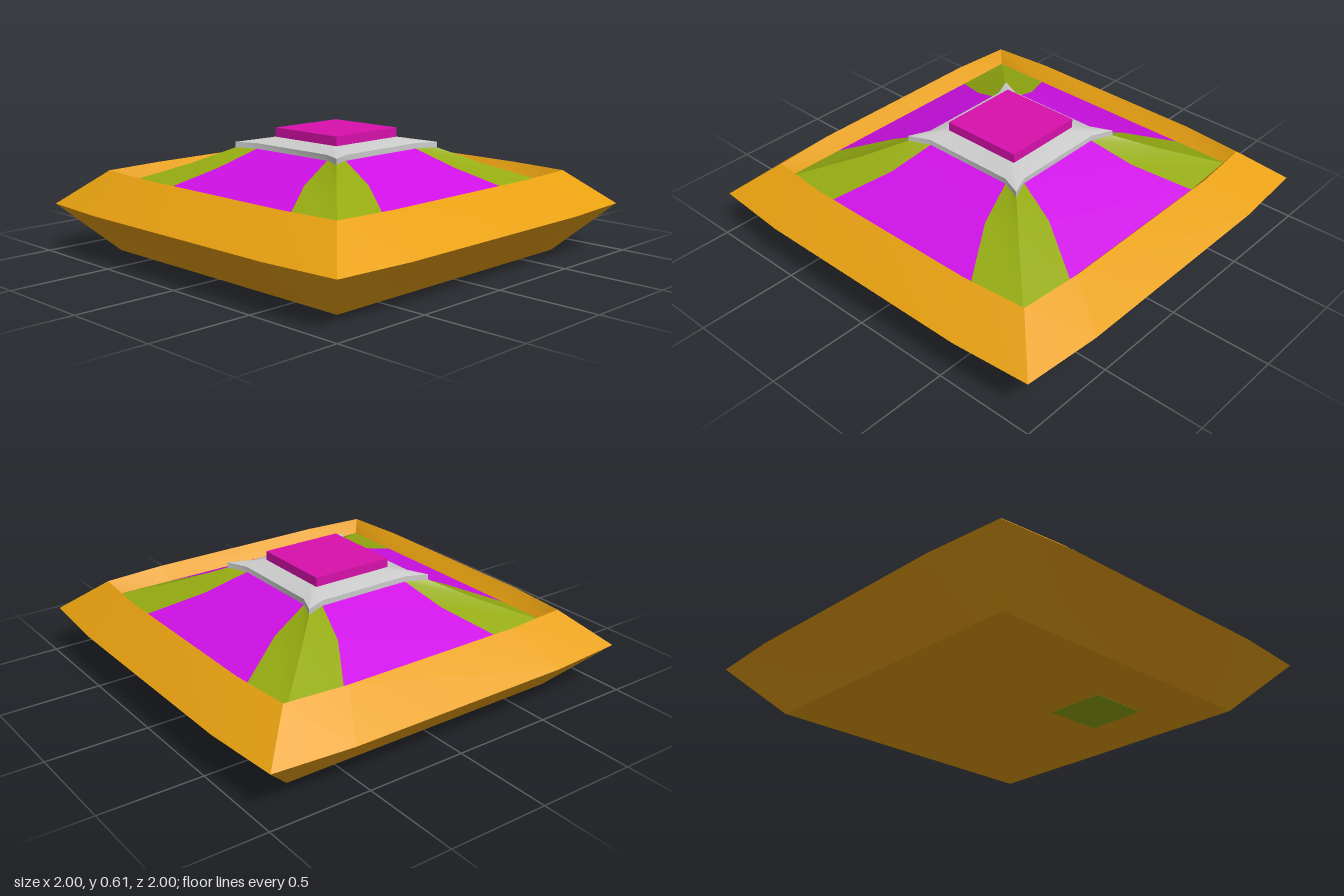
import * as THREE from 'three';
import { toCreasedNormals } from 'three/addons/utils/BufferGeometryUtils.js';

// Twelve-point outline: per side a corner (c, c) and two edge points (±s, e)
function ring(c, e, s, y) {
  const points = [];
  for (let side = 0; side < 4; side++) {
    for (let [x, z] of [[c, c], [s, e], [-s, e]]) {
      for (let i = 0; i < side; i++) [x, z] = [-z, x];
      points.push(new THREE.Vector3(x, y, z));
    }
  }
  return points;
}

// Skin between successive rings; keep() selects which segments to build
function loft(rings, keep = () => true) {
  const corners = [];
  const triangle = (a, b, c) => {
    const area = b.clone().sub(a).cross(c.clone().sub(a)).length();
    if (area > 1e-7) corners.push(a, b, c);
  };
  for (let r = 0; r < rings.length - 1; r++) {
    const lower = rings[r], upper = rings[r + 1];
    for (let i = 0; i < 12; i++) {
      if (!keep(i)) continue;
      const j = (i + 1) % 12;
      triangle(lower[i], upper[i], upper[j]);
      triangle(lower[i], upper[j], lower[j]);
    }
  }
  const geometry = new THREE.BufferGeometry().setFromPoints(corners);
  return toCreasedNormals(geometry, 0.45);
}

export function createModel() {
  const group = new THREE.Group();
  const add = (name, geometry, color) => {
    const material = new THREE.MeshStandardMaterial({ color });
    const mesh = new THREE.Mesh(geometry, material);
    mesh.name = name;
    group.add(mesh);
    return mesh;
  };
  const orange = 0xe8a010, olive = 0x95ab11, purple = 0xd010e8, magenta = 0xd810ac;

  // Bowed frame: closed bottom, flared sides, sloping rim and inner wall
  add('frame', loft([
    ring(0, 0, 0, 0),
    ring(0.75, 0.75, 0.45, 0),
    ring(0.97, 1, 0.58, 0.235),
    ring(0.78, 0.805, 0.47, 0.4),
    ring(0.75, 0.75, 0.45, 0.33),
  ]), orange);

  // Roof: flat panels on the four sides, contrasting corners
  const roof = [
    ring(0.75, 0.75, 0.45, 0.33),
    ring(0.5, 0.5, 0.3, 0.435),
    ring(0.345, 0.3, 0.24, 0.513),
  ];
  add('roofPanels', loft(roof, (i) => i % 3 === 1), purple);
  add('roofCorners', loft(roof, (i) => i % 3 !== 1), olive);

  // Pointed plate under the cap
  add('capPlate', loft([
    ring(0, 0, 0, 0.513),
    ring(0.345, 0.3, 0.24, 0.513),
    ring(0.345, 0.3, 0.24, 0.54),
    ring(0.207, 0.207, 0.166, 0.565),
    ring(0, 0, 0, 0.565),
  ]), 0xcccccc);

  // Square cap
  const cap = add('cap', new THREE.BoxGeometry(0.414, 0.05, 0.414), magenta);
  cap.position.y = 0.585;

  // Small square pad set in the underside
  const pad = add('undersidePad', new THREE.BoxGeometry(0.3, 0.006, 0.3), olive);
  pad.position.set(0.3, 0.002, 0.3);

  return group;
}
